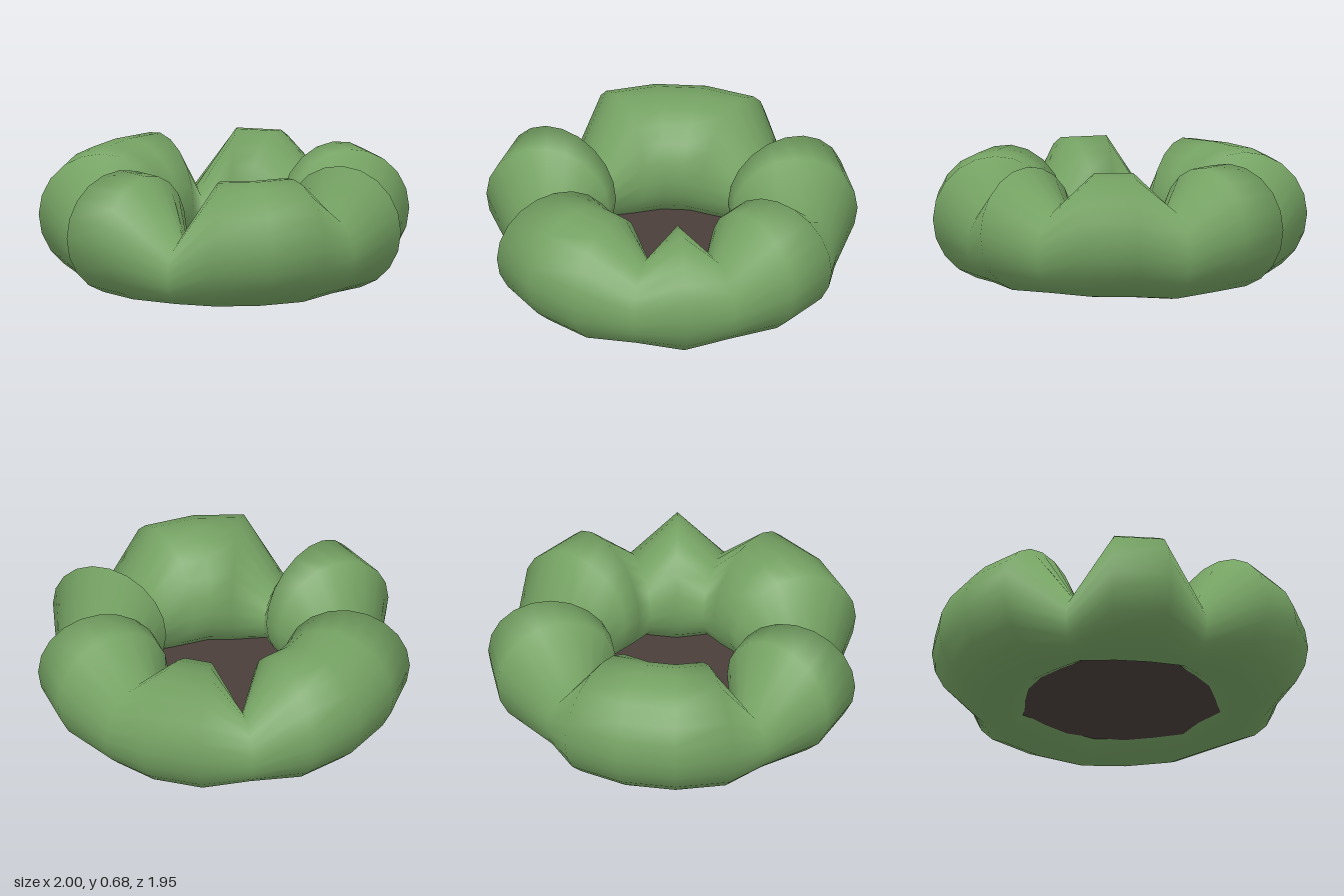
import * as THREE from 'three';

const SEGMENTS = 20; // around the ring
const SIDES = 20;    // around the tube
const RING = 0.667;
const TUBE = 0.333;

// Pinched sections: segment index -> [tube scale, tube centre height]
const PINCHES = {
  1: [0.67, 0.255], 5: [0.5, 0.185], 8: [0.5, 0.185],
  13: [0.54, 0.2], 16: [0.725, 0.243], 19: [0.67, 0.25],
};

// Lumpy ring: circular sections swept around y, shrunk and lowered at each pinch
function lobedRing() {
  const positions = [];
  const indices = [];
  for (let k = 0; k < SEGMENTS; k++) {
    const a = (k / SEGMENTS) * Math.PI * 2;
    const [scale, height] = PINCHES[k] ?? [1, 0.352];
    for (let j = 0; j < SIDES; j++) {
      const t = (j / SIDES) * Math.PI * 2;
      const radius = RING + TUBE * scale * Math.cos(t);
      positions.push(radius * Math.cos(a), height + TUBE * scale * Math.sin(t), radius * Math.sin(a));
      const k2 = (k + 1) % SEGMENTS;
      const j2 = (j + 1) % SIDES;
      const p = k * SIDES + j, q = k * SIDES + j2;
      const r = k2 * SIDES + j2, s = k2 * SIDES + j;
      indices.push(p, q, s, q, r, s);
    }
  }
  const geometry = new THREE.BufferGeometry();
  geometry.setAttribute('position', new THREE.Float32BufferAttribute(positions, 3));
  geometry.setIndex(indices);
  geometry.computeVertexNormals();
  return geometry;
}

export function createModel() {
  const group = new THREE.Group();
  group.name = 'lobedRingBed';

  const ring = new THREE.Mesh(lobedRing(), new THREE.MeshStandardMaterial({ color: 0x75a263 }));
  ring.name = 'lobedRing';
  ring.position.z = 0.017;
  group.add(ring);

  // Floor closing the hole, its rim buried in the ring
  const floor = new THREE.Mesh(
    new THREE.CylinderGeometry(0.6, 0.6, 0.02, SEGMENTS),
    new THREE.MeshStandardMaterial({ color: 0x4a3e3a }),
  );
  floor.name = 'floor';
  floor.position.set(0, 0.075, 0.017);
  group.add(floor);

  return group;
}
